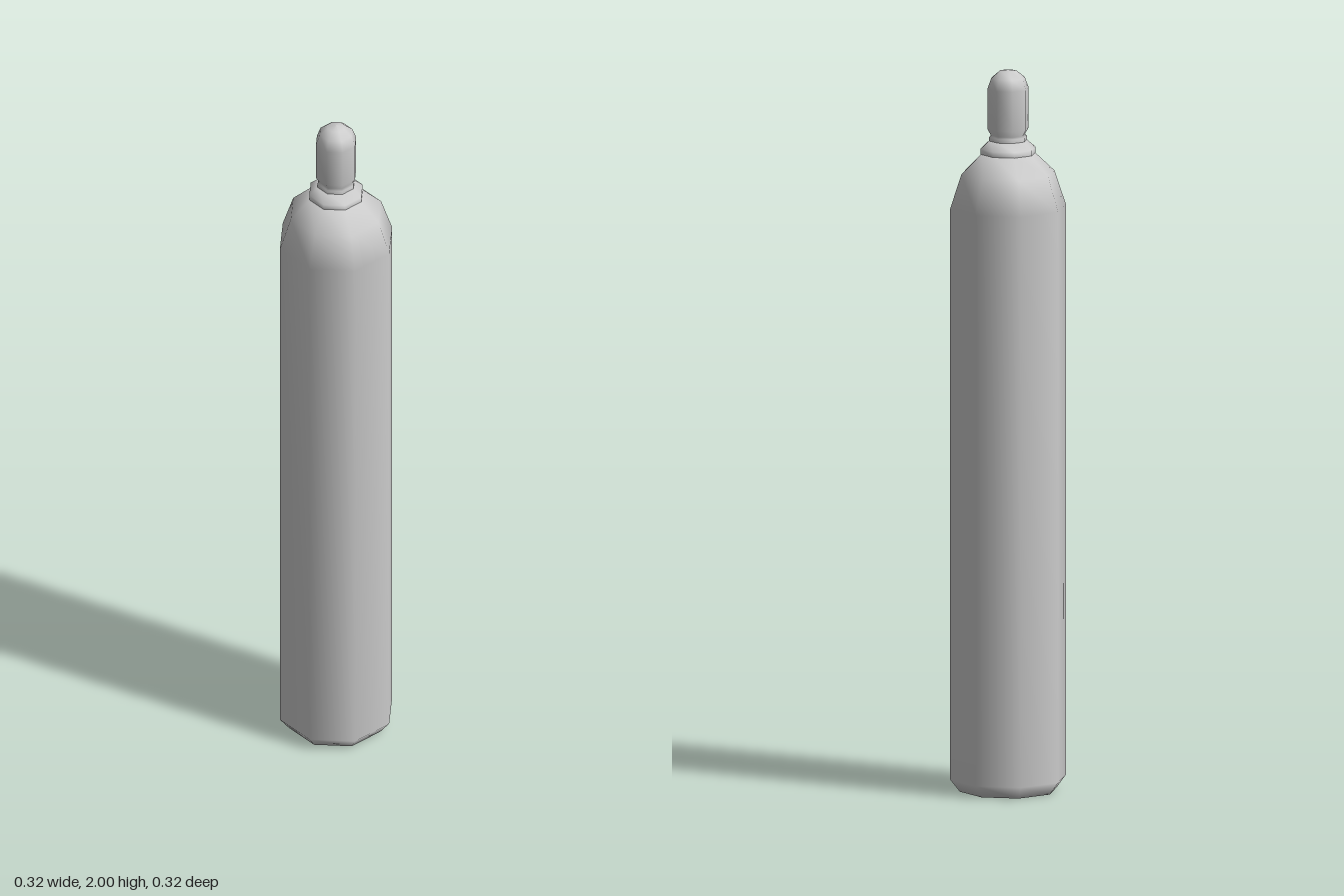
import * as THREE from 'three';

const SIDES = 8;
const material = new THREE.MeshStandardMaterial({ color: 0xcccccc });

// Eight-sided turned part from [radius, height] pairs, listed bottom to top
function turned(name, profile) {
  const points = profile.map(([r, y]) => new THREE.Vector2(r, y));
  const mesh = new THREE.Mesh(new THREE.LatheGeometry(points, SIDES), material);
  mesh.name = name;
  return mesh;
}

export function createModel() {
  const group = new THREE.Group();
  group.name = 'gasCylinder';

  // Tank with chamfered foot and sloped shoulder
  group.add(turned('tank', [
    [0, 0], [0.135, 0], [0.162, 0.035], [0.162, 1.62],
    [0.13, 1.715], [0.073, 1.77], [0, 1.77],
  ]));

  // Neck ring on the shoulder
  group.add(turned('neckRing', [
    [0.077, 1.768], [0.077, 1.783], [0.052, 1.805], [0, 1.805],
  ]));

  // Domed valve cap with a narrow groove above its flared foot
  group.add(turned('valveCap', [
    [0.053, 1.8], [0.053, 1.815], [0.048, 1.82], [0.058, 1.838],
    [0.058, 1.948], [0.047, 1.978], [0.025, 1.996], [0, 2],
  ]));

  return group;
}
